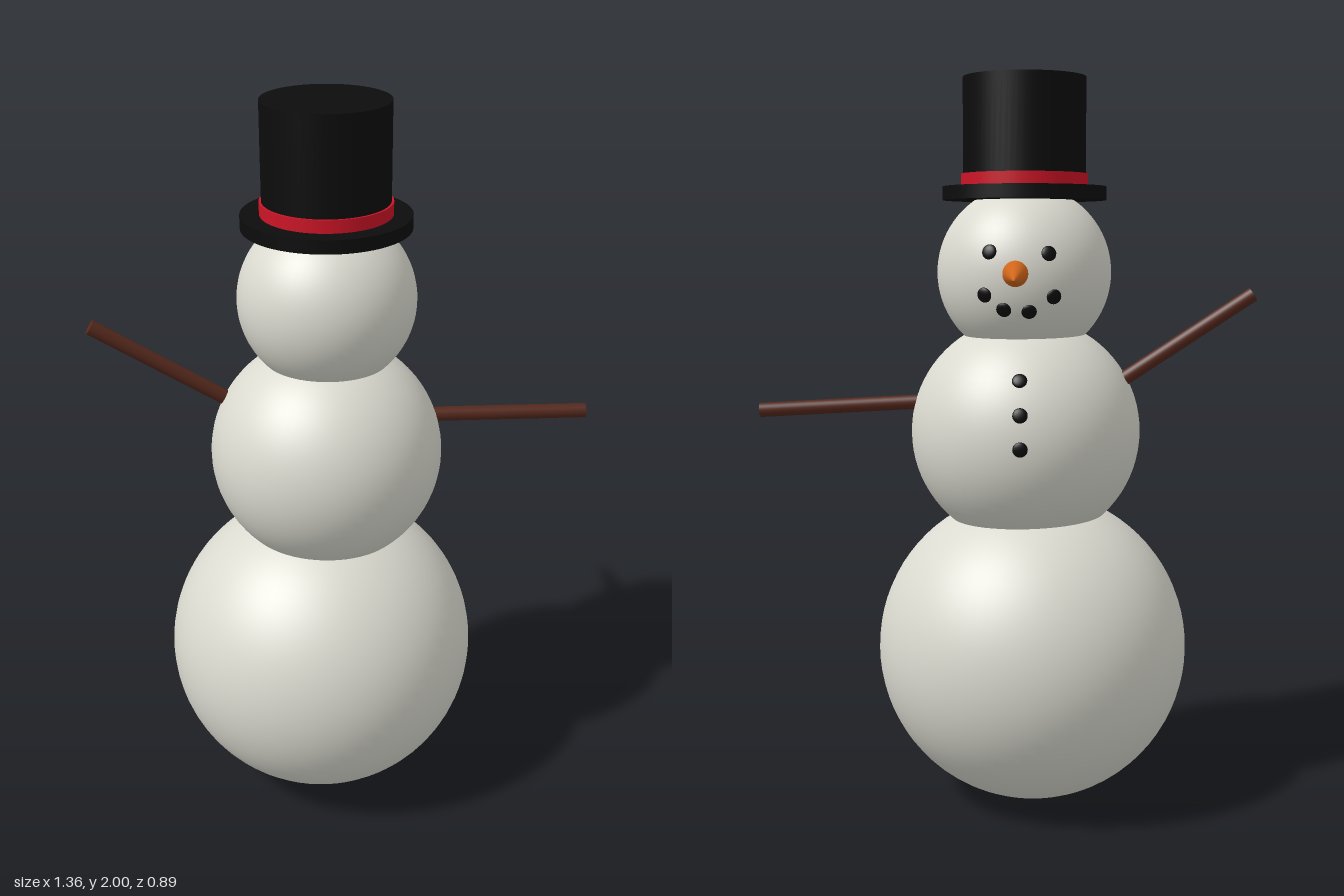
import * as THREE from 'three';

const material = (color) => new THREE.MeshStandardMaterial({ color });
const snow = material(0xdadad0);
const black = material(0x0c0c0c);
const red = material(0xcc1426);
const wood = material(0x54281c);
const carrot = material(0xd0661c);
const UP = new THREE.Vector3(0, 1, 0);

export function createModel() {
  const model = new THREE.Group();
  model.name = 'snowman';

  const add = (parent, name, geometry, mat, x, y, z) => {
    const mesh = new THREE.Mesh(geometry, mat);
    mesh.name = name;
    mesh.position.set(x, y, z);
    parent.add(mesh);
    return mesh;
  };

  // Round bar or cone running from point a to point b
  const rod = (name, a, b, rStart, rEnd, mat) => {
    const start = new THREE.Vector3(...a);
    const dir = new THREE.Vector3(...b).sub(start);
    const length = dir.length();
    const geometry = new THREE.CylinderGeometry(rEnd, rStart, length, 32);
    geometry.translate(0, length / 2, 0);
    const mesh = add(model, name, geometry, mat, ...a);
    mesh.quaternion.setFromUnitVectors(UP, dir.normalize());
  };

  // Three stacked snowballs
  const ball = (name, r, x, y, z) => {
    add(model, name, new THREE.SphereGeometry(r, 64, 40), snow, x, y, z);
    return { r, centre: new THREE.Vector3(x, y, z) };
  };
  ball('base', 0.432, -0.075, 0.433, 0.012);
  const torso = ball('torso', 0.316, -0.055, 1.043, 0.005);
  const head = ball('head', 0.237, -0.05, 1.48, -0.002);

  // Flattened coal pieces pressed into the back-facing (-z) side of a ball
  const coal = (name, host, points) => {
    const group = new THREE.Group();
    group.name = name;
    for (const [x, y] of points) {
      const dx = x - host.centre.x, dy = y - host.centre.y;
      const normal = new THREE.Vector3(dx, dy, -Math.sqrt(host.r ** 2 - dx * dx - dy * dy)).normalize();
      const p = host.centre.clone().addScaledVector(normal, host.r);
      const piece = add(group, 'coal', new THREE.SphereGeometry(0.02, 20, 14), black, p.x, p.y, p.z);
      piece.scale.y = 0.4;
      piece.quaternion.setFromUnitVectors(UP, normal);
    }
    model.add(group);
  };
  coal('eyes', head, [[0.047, 1.537], [-0.106, 1.533]]);
  coal('mouth', head, [[0.06, 1.426], [0.01, 1.388], [-0.056, 1.383], [-0.12, 1.422]]);
  coal('buttons', torso, [[-0.03, 1.208], [-0.03, 1.122], [-0.03, 1.035]]);

  // Carrot nose
  rod('nose', [-0.02, 1.481, -0.232], [-0.01, 1.468, -0.443], 0.034, 0, carrot);

  // Stick arms, one raised and one nearly level
  rod('raisedArm', [-0.28, 1.166, -0.047], [-0.67, 1.422, -0.047], 0.02, 0.02, wood);
  rod('levelArm', [0.245, 1.125, 0.005], [0.68, 1.103, 0.006], 0.02, 0.02, wood);

  // Top hat
  const hat = new THREE.Group();
  hat.name = 'hat';
  model.add(hat);
  const disc = (name, r, y0, y1, mat) =>
    add(hat, name, new THREE.CylinderGeometry(r, r, y1 - y0, 64), mat, -0.05, (y0 + y1) / 2, 0);
  disc('brim', 0.222, 1.675, 1.711, black);
  disc('band', 0.172, 1.711, 1.745, red);
  disc('crown', 0.166, 1.711, 2, black);

  return model;
}
